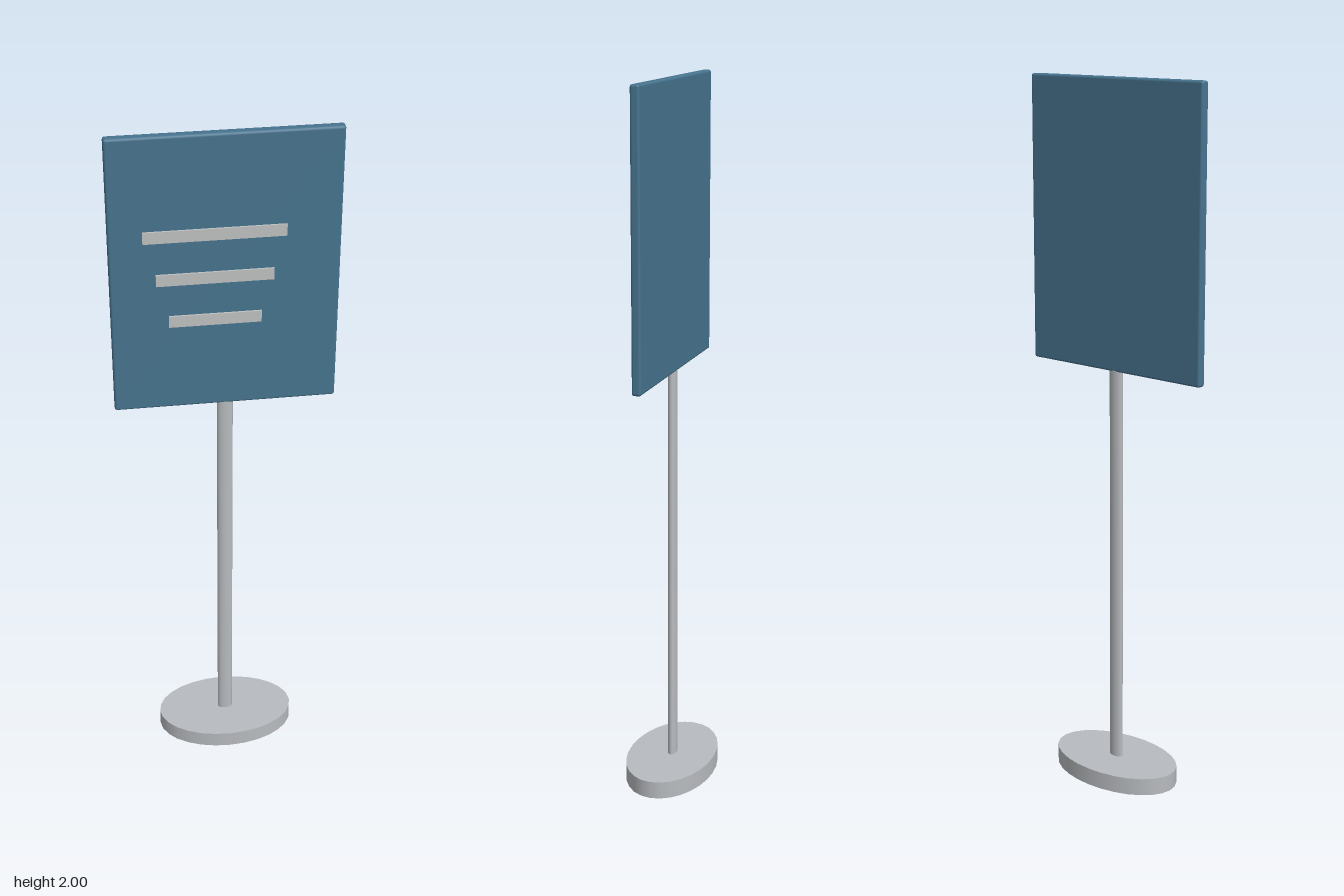
import * as THREE from 'three';
import { RoundedBoxGeometry } from 'three/addons/geometries/RoundedBoxGeometry.js';

export function createModel() {
  const model = new THREE.Group();
  model.name = 'standingSign';

  const material = (name, color) => {
    const m = new THREE.MeshStandardMaterial({ color });
    m.name = name;
    return m;
  };
  const metal = material('greyMetal', 0xb8bbbf);
  const blue = material('panelBlue', 0x47748f);
  const pale = material('paleGrey', 0xbfc0c0);

  const add = (name, geometry, mat, x, y, z) => {
    const mesh = new THREE.Mesh(geometry, mat);
    mesh.name = name;
    mesh.position.set(x, y, z);
    model.add(mesh);
    return mesh;
  };

  // Upright cylinder with an oval section
  const ovalColumn = (rx, rz, height, sides) =>
    new THREE.CylinderGeometry(1, 1, height, sides).scale(rx, 1, rz);

  // Oval foot and oval pole
  add('base', ovalColumn(0.203, 0.125, 0.05, 28), metal, 0, 0.025, 0);
  add('pole', ovalColumn(0.022, 0.0125, 1.19, 16), metal, 0, 0.645, -0.001);

  // Sign board with softened edges
  add('panel', new RoundedBoxGeometry(0.6, 0.795, 0.026, 2, 0.007), blue, 0, 1.6025, -0.001);

  // Three raised bars, each shorter than the one above
  [0.37, 0.307, 0.244].forEach((width, i) => {
    add('bar' + (i + 1), new THREE.BoxGeometry(width, 0.033, 0.005), pale,
      -0.027, 1.727 - i * 0.125, 0.0165);
  });

  return model;
}
